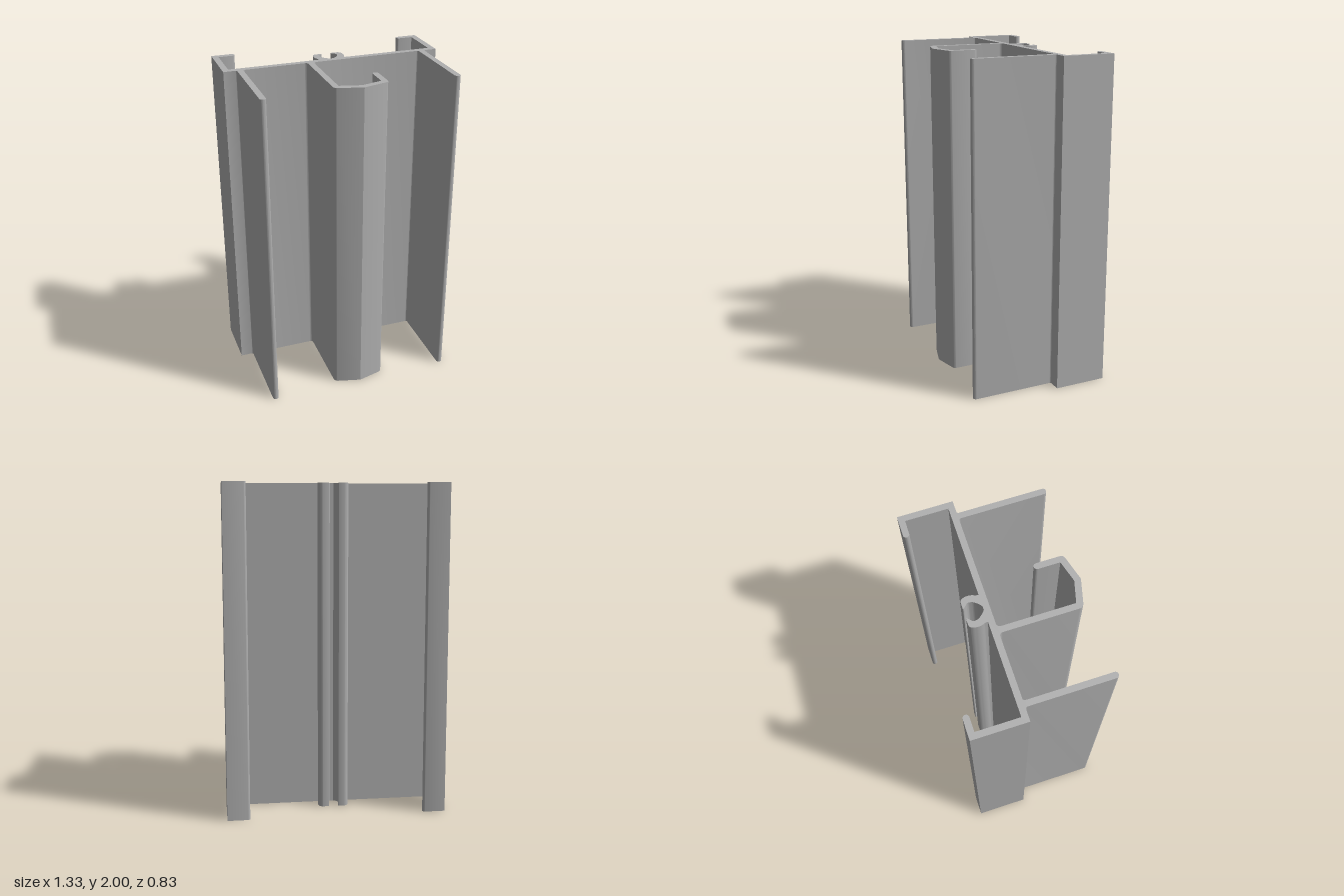
import * as THREE from 'three';
import { toCreasedNormals } from 'three/addons/utils/BufferGeometryUtils.js';

const HEIGHT = 2;

// Closed outline from [x, z, cut] corners; cut is how far the rounding reaches along each edge
function roundedOutline(corners) {
  const shape = new THREE.Shape();
  const n = corners.length;
  const at = (i) => new THREE.Vector2(corners[(i + n) % n][0], corners[(i + n) % n][1]);
  for (let i = 0; i < n; i++) {
    const p = at(i);
    const cut = corners[i][2] || 0;
    const toward = (q, d) => p.clone().add(q.clone().sub(p).setLength(d));
    const a = cut ? toward(at(i - 1), cut) : p;
    if (i === 0) shape.moveTo(a.x, a.y);
    else shape.lineTo(a.x, a.y);
    if (cut) {
      const b = toward(at(i + 1), cut);
      const c1 = toward(at(i - 1), cut * 0.45);
      const c2 = toward(at(i + 1), cut * 0.45);
      shape.bezierCurveTo(c1.x, c1.y, c2.x, c2.y, b.x, b.y);
    }
  }
  shape.closePath();
  return shape;
}

export function createModel() {
  const group = new THREE.Group();
  const aluminium = new THREE.MeshStandardMaterial({ color: 0xb0b0b0 });
  aluminium.name = 'aluminium grey';

  // Right half: screw channel, back web, side return with lip, front leg
  const half = [
    [-0.011, -0.134], [-0.027, -0.146, 0.008], [-0.052, -0.176, 0.012],
    [-0.056, -0.206, 0.008], [-0.029, -0.231, 0.003], [-0.029, -0.238, 0.003],
    [-0.082, -0.238, 0.015], [-0.1, -0.19, 0.03], [-0.082, -0.148, 0.006],
    [-0.082, -0.134],
    [-0.63, -0.134], [-0.63, -0.382],
    [-0.53, -0.382, 0.0175], [-0.53, -0.418, 0.0175],
    [-0.667, -0.418], [-0.667, -0.098],
    [-0.587, -0.098, 0.01], [-0.587, 0.414, 0.0175],
    [-0.551, 0.414, 0.0175], [-0.551, -0.098, 0.012],
  ];

  // Open hook hanging from the front of the web
  const hook = [
    [-0.162, -0.098, 0.018], [-0.162, 0.371, 0.022], [0, 0.414],
    [0.162, 0.371, 0.018], [0.162, 0.197, 0.0175], [0.126, 0.197, 0.0175],
    [0.126, 0.342], [0, 0.376], [-0.126, 0.342], [-0.126, -0.098, 0.022],
  ];

  const mirrored = half.map(([x, z, cut]) => [-x, z, cut]).reverse();
  const outline = roundedOutline([...half, ...hook, ...mirrored]);

  // Extrude the section and stand it upright
  const extruded = new THREE.ExtrudeGeometry(outline, {
    depth: HEIGHT, bevelEnabled: false, curveSegments: 6,
  });
  extruded.rotateX(Math.PI / 2);
  extruded.translate(0, HEIGHT, 0);

  const profile = new THREE.Mesh(toCreasedNormals(extruded, 0.45), aluminium);
  profile.name = 'extrudedProfile';
  group.add(profile);
  return group;
}
